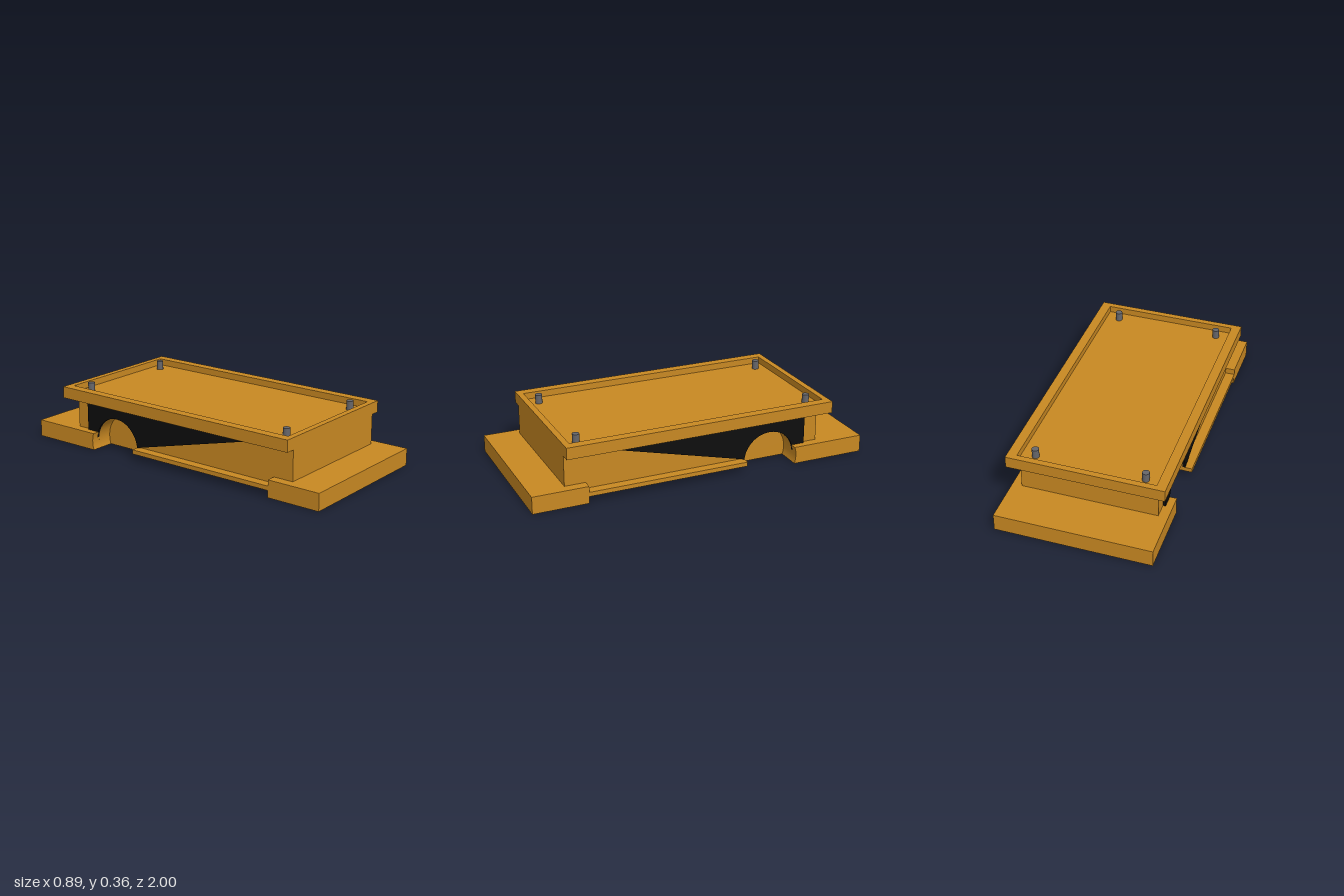
import * as THREE from 'three';

const ORANGE = new THREE.MeshStandardMaterial({ color: 0xc88822 });
const BLACK = new THREE.MeshStandardMaterial({ color: 0x0d0d0d });
const GREY = new THREE.MeshStandardMaterial({ color: 0x66666a });

const ARCH_Y = 0.05;              // height of the wheel well axis
const REAR = { a: 0.42, r: 0.155 };
const FRONT = { a: -0.42, r: 0.135 };

// Side profiles use a = -z across and y up.
function arch(shape, well, yStart, yEnd) {
  const start = Math.PI + Math.asin((ARCH_Y - yStart) / well.r);
  const end = -Math.asin((ARCH_Y - yEnd) / well.r);
  shape.absarc(well.a, ARCH_Y, well.r, start, end, true);
}

function line(shape, points) {
  for (const [a, y] of points) shape.lineTo(a, y);
}

// Body and base in one side profile, with optional wheel wells
function bodyProfile(frontWell, rearWell) {
  const s = new THREE.Shape();
  s.moveTo(-1, 0);
  line(s, [[-0.68, 0], [-0.68, 0.04]]);
  if (frontWell) arch(s, FRONT, 0.04, 0.04);
  if (rearWell) arch(s, REAR, 0.04, 0);
  else line(s, [[0.32, 0.04], [0.32, 0]]);
  line(s, [[1, 0], [1, 0.1], [0.73, 0.1], [0.73, 0.275], [-0.8, 0.275], [-0.8, 0.1], [-1, 0.1]]);
  return s;
}

// Outer edge of the base ahead of the rear wheel
function frontFlangeProfile() {
  const s = new THREE.Shape();
  s.moveTo(-1, 0);
  line(s, [[-0.68, 0], [-0.68, 0.04], [0.266, 0.04], [0.266, 0.065], [-0.68, 0.065], [-0.68, 0.1], [-1, 0.1]]);
  return s;
}

// Outer edge of the base behind the rear wheel
function rearFlangeProfile() {
  const s = new THREE.Shape();
  s.moveTo(1, 0);
  s.lineTo(1, 0.1);
  const t = Math.asin(0.05 / REAR.r);
  s.absarc(REAR.a, ARCH_Y, REAR.r, t, -t, true);
  return s;
}

function panelProfile() {
  const s = new THREE.Shape();
  s.moveTo(-0.55, 0.065);
  arch(s, REAR, 0.065, 0.065);
  line(s, [[0.645, 0.065], [0.645, 0.275], [-0.55, 0.275]]);
  return s;
}

// Extrudes a side profile from x0 to x1
function slab(parent, name, shape, x0, x1, material) {
  const geo = new THREE.ExtrudeGeometry(shape, { depth: x1 - x0, bevelEnabled: false, curveSegments: 32 });
  geo.rotateY(Math.PI / 2).translate(x0, 0, 0);
  const mesh = new THREE.Mesh(geo, material);
  mesh.name = name;
  parent.add(mesh);
}

function mirroredSlab(parent, name, shape, x0, x1, material) {
  slab(parent, name + 'Left', shape, x0, x1, material);
  slab(parent, name + 'Right', shape, -x1, -x0, material);
}

function rectangle(PathType, w, d) {
  const p = new PathType();
  p.moveTo(-w, -d);
  line(p, [[w, -d], [w, d], [-w, d]]);
  p.closePath();
  return p;
}

export function createModel() {
  const model = new THREE.Group();
  model.name = 'chassis';

  // Body in layers across x, so each wheel well has its own depth
  const body = new THREE.Group();
  body.name = 'body';
  slab(body, 'bodyCore', bodyProfile(false, false), -0.26, 0.26, ORANGE);
  mirroredSlab(body, 'frontWellInner', bodyProfile(true, false), 0.26, 0.3, ORANGE);
  mirroredSlab(body, 'wheelWells', bodyProfile(true, true), 0.3, 0.36, ORANGE);
  mirroredSlab(body, 'bodySide', bodyProfile(false, true), 0.36, 0.39, ORANGE);
  model.add(body);

  // Base edges and dark side panels
  mirroredSlab(model, 'frontFlange', frontFlangeProfile(), 0.39, 0.445, ORANGE);
  mirroredSlab(model, 'rearFlange', rearFlangeProfile(), 0.39, 0.445, ORANGE);
  mirroredSlab(model, 'sidePanel', panelProfile(), 0.39, 0.405, BLACK);

  // Tray: a rim around a sunken floor
  const rimShape = rectangle(THREE.Shape, 0.445, 0.8);
  rimShape.holes.push(rectangle(THREE.Path, 0.39, 0.765));
  const rimGeo = new THREE.ExtrudeGeometry(rimShape, { depth: 0.068, bevelEnabled: false });
  rimGeo.rotateX(-Math.PI / 2).translate(0, 0.275, 0);
  const rim = new THREE.Mesh(rimGeo, ORANGE);
  rim.name = 'trayRim';
  const floor = new THREE.Mesh(new THREE.BoxGeometry(0.78, 0.03, 1.53), ORANGE);
  floor.name = 'trayFloor';
  floor.position.y = 0.29;
  model.add(rim, floor);

  // Corner pegs
  const pegGeo = new THREE.CylinderGeometry(0.02, 0.02, 0.057, 24);
  for (const x of [-0.31, 0.31]) {
    for (const z of [-0.7, 0.7]) {
      const peg = new THREE.Mesh(pegGeo, GREY);
      peg.name = 'cornerPeg';
      peg.position.set(x, 0.3285, z);
      model.add(peg);
    }
  }
  return model;
}
